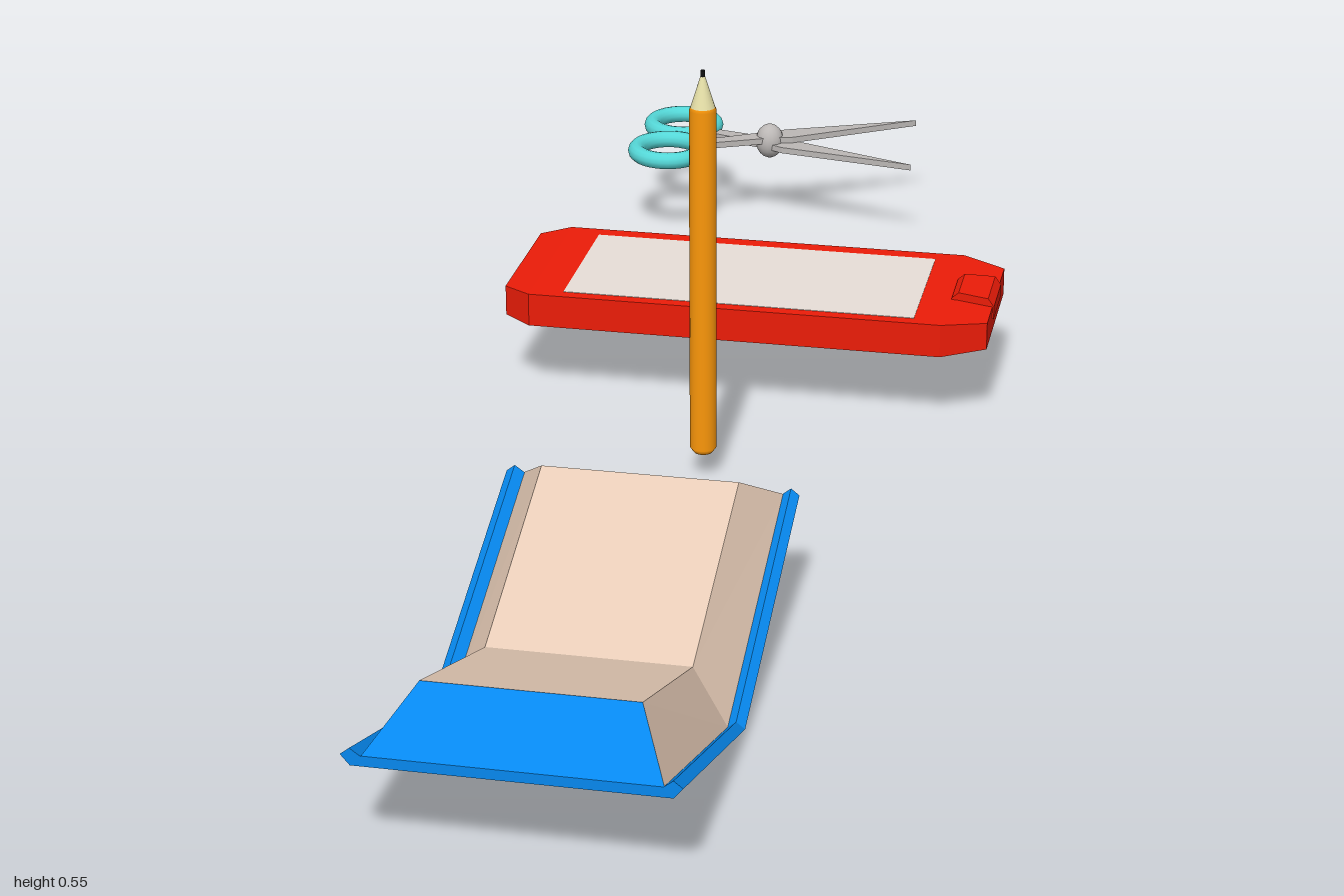
import * as THREE from 'three';

const mat = (color, flatShading = true) =>
  new THREE.MeshStandardMaterial({ color, flatShading });

// Skin through matching rings of [x, y, z] points (counter-clockwise, increasing z)
function loft(rings, capped = true) {
  const pos = [];
  const n = rings[0].length;
  for (let k = 0; k + 1 < rings.length; k++) {
    for (let i = 0; i < n; i++) {
      const j = (i + 1) % n;
      const [a, b, c, d] = [rings[k][i], rings[k][j], rings[k + 1][j], rings[k + 1][i]];
      pos.push(...a, ...b, ...c, ...a, ...c, ...d);
    }
  }
  if (capped) {
    pos.push(...cap(rings[0], true), ...cap(rings[rings.length - 1], false));
  }
  return toGeometry(pos);
}

function cap(ring, back) {
  const faces = THREE.ShapeUtils.triangulateShape(ring.map(p => new THREE.Vector2(p[0], p[1])), []);
  return faces.flatMap(f => (back ? [f[0], f[2], f[1]] : f).flatMap(i => ring[i]));
}

function toGeometry(pos) {
  const g = new THREE.BufferGeometry();
  g.setAttribute('position', new THREE.Float32BufferAttribute(pos, 3));
  g.computeVertexNormals();
  return g;
}

function add(parent, name, geometry, material, x = 0, y = 0, z = 0) {
  const m = new THREE.Mesh(geometry, material);
  m.name = name;
  m.position.set(x, y, z);
  parent.add(m);
  return m;
}

// Open book: V-folded cover with raised side rims, page block and sloped ends
function makeBook() {
  const g = new THREE.Group();
  g.name = 'book';
  const blue = mat(0x0688ee);
  const profile = [[-0.178, 0], [0.155, 0], [0.165, 0.012], [0.155, 0.02],
    [0.145, 0.012], [-0.167, 0.012], [-0.178, 0.02], [-0.188, 0.012]];
  const cover = [[0.325, 0.12], [0.667, 0], [1, 0.12]]
    .map(([z, dy]) => profile.map(([x, y]) => [x, y + dy, z]));
  add(g, 'bookCover', loft(cover), blue);

  // each station: base z, base y, top z, top y
  const pages = [[0.325, 0.132, 0.4, 0.179], [0.667, 0.012, 0.667, 0.083], [1, 0.132, 0.92, 0.179]]
    .map(([bz, by, tz, ty]) => [[-0.166, by, bz], [0.146, by, bz], [0.107, ty, tz], [-0.126, ty, tz]]);
  add(g, 'bookPages', loft(pages, false), mat(0xe8cdb8));
  add(g, 'bookBackEnd', toGeometry(cap(pages[0], true)), blue);
  add(g, 'bookFrontEnd', toGeometry(cap(pages[2], false)), blue);
  return g;
}

// Pencil standing upright
function makePencil() {
  const g = new THREE.Group();
  g.name = 'pencil';
  g.position.set(-0.01, 0, 0.024);
  const body = [[0, 0.035], [0.012, 0.035], [0.017, 0.042], [0.017, 0.494], [0.0155, 0.498]]
    .map(p => new THREE.Vector2(...p));
  add(g, 'pencilBody', new THREE.LatheGeometry(body, 24), mat(0xfb970a, false));
  add(g, 'pencilWood', new THREE.CylinderGeometry(0.003, 0.0155, 0.04, 24), mat(0xe6e0a8, false), 0, 0.517);
  add(g, 'pencilLead', new THREE.CylinderGeometry(0.003, 0.003, 0.01, 12), mat(0x111111), 0, 0.54);
  return g;
}

// Handheld device lying flat: tapered body, screen and raised button
function makeDevice() {
  const g = new THREE.Group();
  g.name = 'phone';
  g.position.z = -0.302;
  const red = mat(0xec1c08);
  // each station: distance along x, half width, bottom, top
  const lengthwise = stations => loft(stations.map(([u, w, lo, hi]) =>
    [[-w, lo, u], [w, lo, u], [w, hi, u], [-w, hi, u]])).rotateY(Math.PI / 2);
  add(g, 'phoneBody', lengthwise([[-0.325, 0.098, 0.104, 0.145], [-0.287, 0.125, 0.102, 0.147],
    [0.264, 0.125, 0.102, 0.147], [0.322, 0.097, 0.106, 0.143]]), red);
  add(g, 'phoneButton', lengthwise([[0.267, 0.034, 0.14, 0.149], [0.276, 0.034, 0.14, 0.157],
    [0.316, 0.04, 0.13, 0.154], [0.324, 0.04, 0.125, 0.143]]), red);
  add(g, 'phoneScreen', new THREE.BoxGeometry(0.47, 0.004, 0.211), mat(0xe8dfd8), -0.008, 0.1456, 0.003);
  return g;
}

// Open scissors: two crossed blades, ring handles and a pivot
function makeScissors() {
  const g = new THREE.Group();
  g.name = 'scissors';
  g.position.set(-0.09, 0.125, -0.89);
  const steel = mat(0xbcb8b6);
  const teal = mat(0x55d8d8, false);
  const blades = [[0.208, -0.108, 0.07], [0.224, 0.064, -0.047]];
  blades.forEach(([tipX, tipZ, ringZ], i) => {
    const len = Math.hypot(tipX, tipZ);
    const side = i ? -1 : 1;
    const outline = [[-0.105, -0.009], [0, -0.014], [0.03, -0.02], [len, 0], [0.03, 0.016], [0, 0.014], [-0.105, 0.009]]
      .map(([x, y]) => new THREE.Vector2(x, y));
    const geo = new THREE.ExtrudeGeometry(new THREE.Shape(outline), { depth: 0.009, bevelEnabled: false });
    geo.translate(0, 0, -0.0045).rotateX(-Math.PI / 2);
    const blade = add(g, i ? 'lowerBlade' : 'upperBlade', geo, steel, 0, side * 0.0045);
    blade.rotation.y = Math.atan2(-tipZ, tipX);
    const ring = new THREE.TorusGeometry(0.048, 0.0125, 12, 32).rotateX(Math.PI / 2);
    add(g, i ? 'backHandle' : 'frontHandle', ring, teal, -0.142, 0, ringZ);
  });
  const pivot = add(g, 'pivot', new THREE.SphereGeometry(0.021, 16, 12), mat(0xbcb8b6, false));
  pivot.scale.y = 1.25;
  return g;
}

export function createModel() {
  const model = new THREE.Group();
  model.name = 'schoolSupplies';
  model.add(makeBook(), makePencil(), makeDevice(), makeScissors());
  return model;
}
